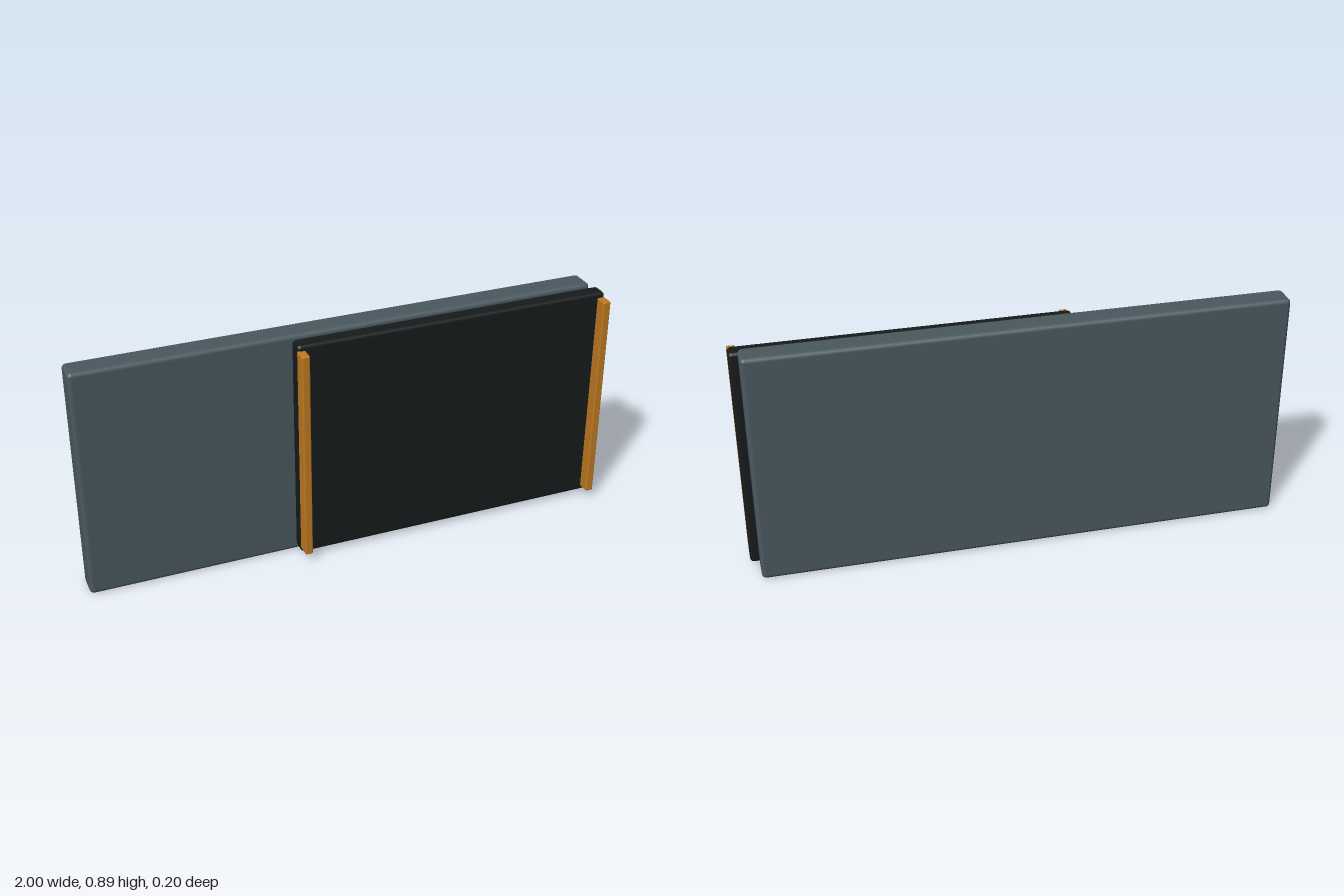
import * as THREE from 'three';
import { RoundedBoxGeometry } from 'three/addons/geometries/RoundedBoxGeometry.js';

export function createModel() {
  const model = new THREE.Group();
  model.name = 'slidingPanel';

  const slate = new THREE.MeshStandardMaterial({ color: 0x4a5960 });
  const black = new THREE.MeshStandardMaterial({ color: 0x171b1c });
  const orange = new THREE.MeshStandardMaterial({ color: 0xc07a22 });

  // Rounded slab given by its extents [min, max] on each axis
  function slab(name, x, y, z, radius, material) {
    const size = [x, y, z].map(([a, b]) => b - a);
    const mesh = new THREE.Mesh(new RoundedBoxGeometry(...size, 4, radius), material);
    mesh.position.set(...[x, y, z].map(([a, b]) => (a + b) / 2));
    mesh.name = name;
    model.add(mesh);
  }

  // Long slab at the back
  slab('backPanel', [-1, 0.967], [0.002, 0.894], [-0.1, -0.002], 0.016, slate);

  // Shorter dark slab, shifted to the left and overhanging the end
  slab('frontPanel', [-0.214, 1], [0.019, 0.877], [-0.009, 0.055], 0.014, black);

  // Upright trim strips on both ends of the dark slab
  slab('rightTrim', [-0.214, -0.184], [0.038, 0.857], [0.046, 0.1], 0.005, orange);
  slab('leftTrim', [0.97, 1], [0.038, 0.857], [0.046, 0.1], 0.005, orange);

  return model;
}
